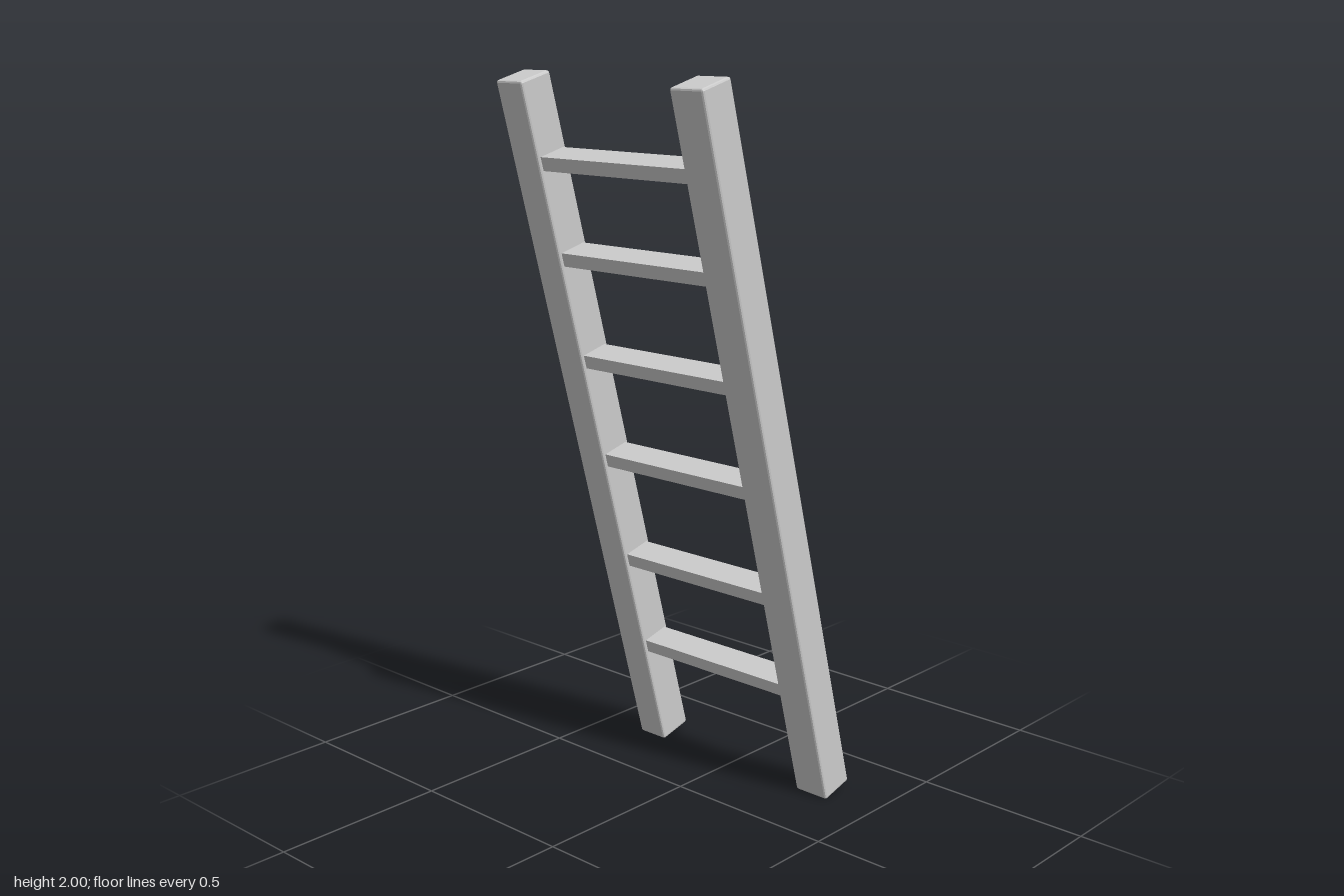
import * as THREE from 'three';
import { RoundedBoxGeometry } from 'three/addons/geometries/RoundedBoxGeometry.js';

const LEAN = THREE.MathUtils.degToRad(15);

export function createModel() {
  const model = new THREE.Group();
  model.name = 'ladder';
  const material = new THREE.MeshStandardMaterial({ color: 0xcccccc, flatShading: true });

  // Everything is built upright along y, then the whole ladder leans towards -x
  const ladder = new THREE.Group();
  ladder.name = 'leaningFrame';
  ladder.position.y = 1;
  ladder.rotation.z = LEAN;
  model.add(ladder);

  function addPart(name, geometry, y, z) {
    const mesh = new THREE.Mesh(geometry, material);
    mesh.name = name;
    mesh.position.set(0, y, z);
    ladder.add(mesh);
  }

  // Two square rails with small chamfers; the front one is slightly thicker
  const rails = [
    ['frontRail', 0.252, 0.359],
    ['backRail', -0.359, -0.262],
  ];
  for (const [name, z0, z1] of rails) {
    const geometry = new RoundedBoxGeometry(0.104, 2.045, z1 - z0, 1, 0.006);
    addPart(name, geometry, 0, (z0 + z1) / 2);
  }

  // Flat rungs at hand-set, slightly uneven heights, sunk a little into the rails
  const rungHeights = [0.332, 0.617, 0.931, 1.225, 1.514, 1.772];
  const rungGeometry = new THREE.BoxGeometry(0.083, 0.038, 0.534);
  rungHeights.forEach((height, i) => {
    addPart(`rung${i + 1}`, rungGeometry, (height - 1) / Math.cos(LEAN), -0.005);
  });

  return model;
}
